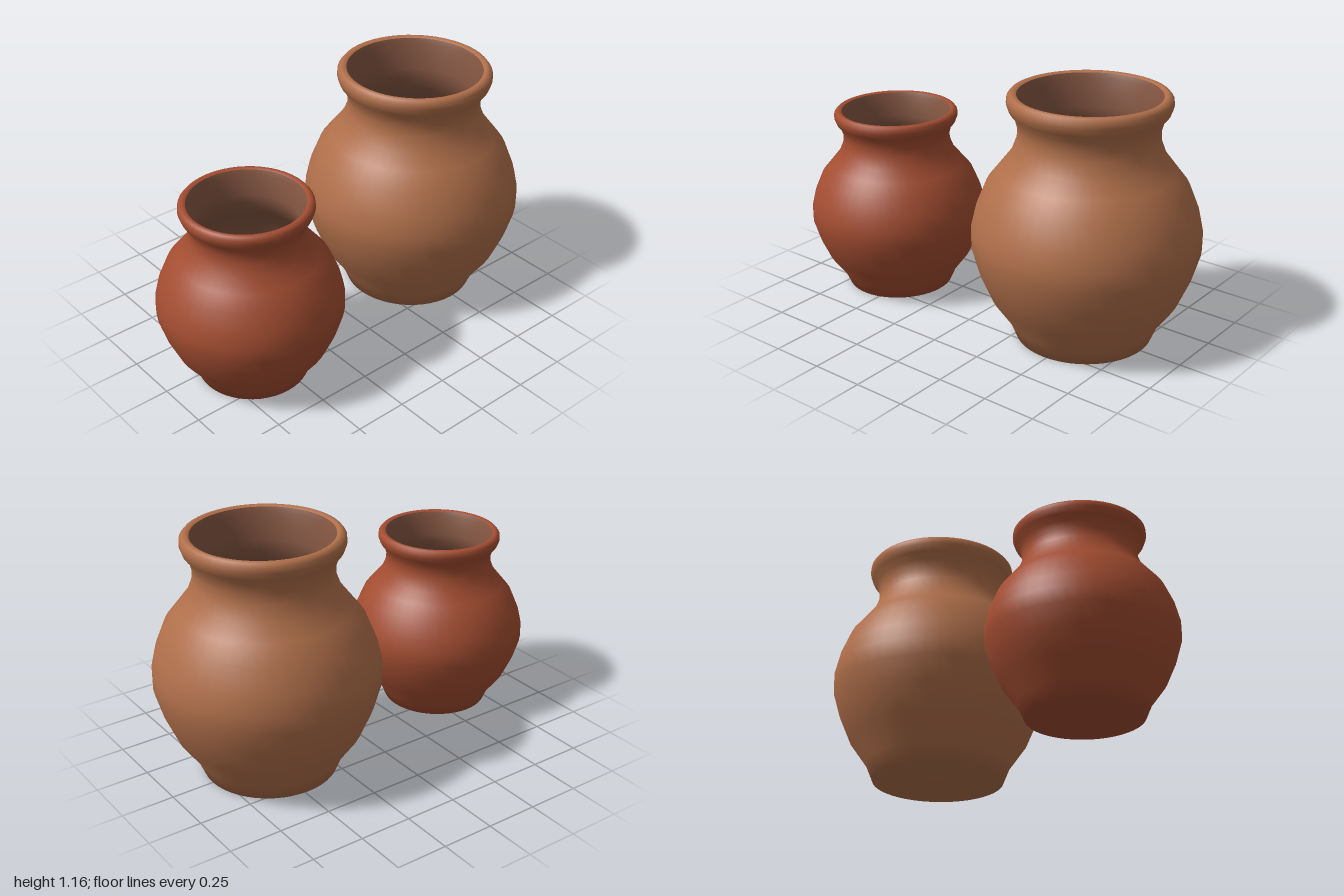
import * as THREE from 'three';

const SEGMENTS = 48;

// Profiles as [radius, height] for the full-size jar.
const OUTER = [
  [0, 0], [0.312, 0], [0.347, 0.086], [0.429, 0.203], [0.483, 0.33], [0.516, 0.446],
  [0.516, 0.532], [0.496, 0.62], [0.45, 0.735], [0.392, 0.81], [0.341, 0.877],
  [0.314, 0.95], [0.313, 1.0], [0.325, 1.046], [0.35, 1.078], [0.362, 1.112],
  [0.36, 1.138], [0.348, 1.153], [0.332, 1.158], [0.318, 1.15],
];
const INNER = [
  [0.318, 1.15], [0.308, 1.125], [0.295, 1.07], [0.283, 1.0], [0.284, 0.95], [0.31, 0.877],
  [0.36, 0.81], [0.42, 0.73], [0.466, 0.62], [0.486, 0.532], [0.486, 0.446],
  [0.453, 0.33], [0.399, 0.203], [0.317, 0.086], [0.285, 0.04], [0, 0.03],
];

function lathe(profile) {
  return new THREE.LatheGeometry(profile.map(([r, y]) => new THREE.Vector2(r, y)), SEGMENTS);
}

export function createModel() {
  const material = (name, color) => {
    const m = new THREE.MeshStandardMaterial({ color });
    m.name = name;
    return m;
  };
  const tanClay = material('tan clay', 0xb06f4a);
  const redClay = material('red clay', 0xa34d31);
  const innerClay = material('inner clay', 0x835541);

  const outer = lathe(OUTER);
  const inner = lathe(INNER);

  // One jar: clay body with rolled lip, and a hollow lining
  function jar(name, clay, x, z, width, height) {
    const group = new THREE.Group();
    group.name = name;
    const body = new THREE.Mesh(outer, clay);
    body.name = 'jarBody';
    const lining = new THREE.Mesh(inner, innerClay);
    lining.name = 'jarInterior';
    group.add(body, lining);
    group.position.set(x, 0, z);
    group.scale.set(width, height, width * 1.012);
    return group;
  }

  const model = new THREE.Group();
  model.name = 'clayJars';
  model.add(
    jar('largeJar', tanClay, 0.483, 0, 1, 1),
    jar('smallJar', redClay, -0.579, 0.092, 0.816, 0.772),
  );
  return model;
}
